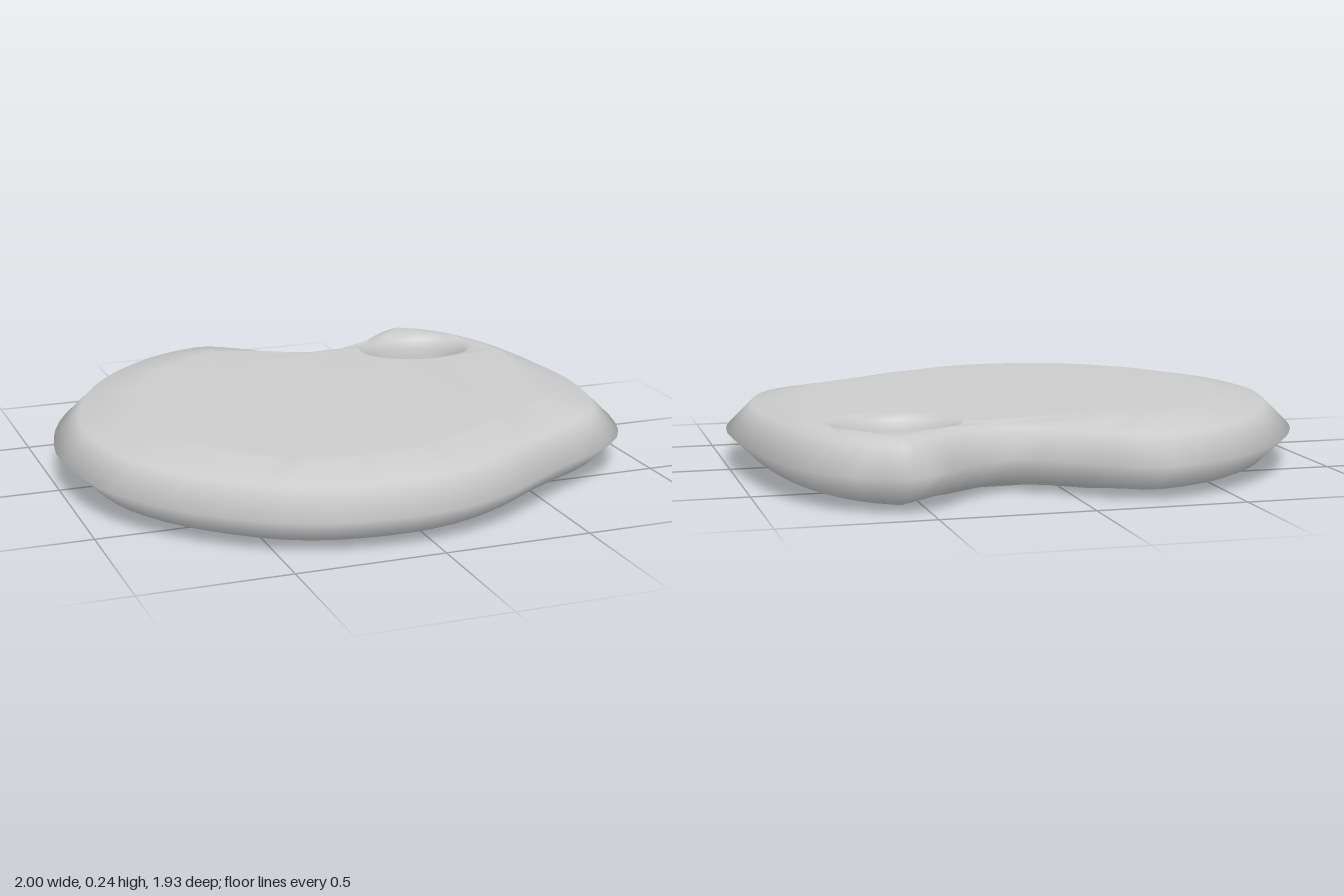
import * as THREE from 'three';

const SEGMENTS = 72, HOLE_SEGMENTS = 32, MID = 0.12;
const HOLE = new THREE.Vector2(0.53, -0.53);

// Kidney-shaped outline, as x, z pairs
const OUTLINE = [
  [-0.26, -0.97], [-0.17, -0.96], [-0.08, -0.905], [0.07, -0.78], [0.2, -0.715],
  [0.3, -0.76], [0.44, -0.89], [0.57, -0.965], [0.72, -0.9], [0.81, -0.81],
  [0.88, -0.69], [0.94, -0.5], [0.98, -0.25], [1, 0.05], [0.965, 0.28],
  [0.9, 0.44], [0.8, 0.55], [0.66, 0.635], [0.53, 0.71], [0.3, 0.86],
  [0.1, 0.94], [-0.1, 0.965], [-0.35, 0.935], [-0.51, 0.87], [-0.66, 0.76],
  [-0.79, 0.63], [-0.88, 0.5], [-0.95, 0.35], [-1, 0.03], [-0.98, -0.15],
  [-0.93, -0.33], [-0.85, -0.5], [-0.74, -0.66], [-0.6, -0.8], [-0.46, -0.9],
];

function boardGeometry() {
  const curve = new THREE.CatmullRomCurve3(OUTLINE.map(([x, z]) => new THREE.Vector3(x, 0, z)), true);
  const positions = [], indices = [];

  // Adds a loop of points and returns where it starts and how long it is
  function addLoop(points) {
    const start = positions.length / 3;
    points.forEach((p) => positions.push(p.x, p.y, p.z));
    return { start, count: points.length, points };
  }

  // Outline moved inwards; side is 1 above the middle and -1 below it.
  // The shoulder narrows beside the thumb hole.
  function edgeLoop(level, side) {
    const points = [];
    for (let i = 0; i < SEGMENTS; i++) {
      const p = curve.getPointAt(i / SEGMENTS), t = curve.getTangentAt(i / SEGMENTS);
      const room = Math.hypot(p.x - HOLE.x, p.z - HOLE.y) - 0.31;
      const shoulder = Math.min(0.27, 0.09 + 0.45 * Math.max(room, 0));
      const inset = [0, 0.09, shoulder][level];
      const rise = [0, 0.088, 0.09 + 0.03 * Math.min(1, (shoulder - 0.09) / 0.1)][level];
      points.push(new THREE.Vector3(p.x - t.z * inset, MID + side * rise, p.z + t.x * inset));
    }
    return addLoop(points);
  }

  function holeLoop(rx, rz, rise) {
    const points = [];
    for (let i = 0; i < HOLE_SEGMENTS; i++) {
      const a = (i / HOLE_SEGMENTS) * Math.PI * 2;
      points.push(new THREE.Vector3(HOLE.x + rx * Math.cos(a), MID + rise, HOLE.y + rz * Math.sin(a)));
    }
    return addLoop(points);
  }

  function bridge(loops) {
    for (let k = 0; k < loops.length - 1; k++) {
      const { start: a, count } = loops[k], b = loops[k + 1].start;
      for (let i = 0; i < count; i++) {
        const j = (i + 1) % count;
        indices.push(a + i, b + i, a + j, b + i, b + j, a + j);
      }
    }
  }

  // Flat face between the shoulder and the rim of the hole
  function cap(outer, inner, up) {
    const flat = (loop) => loop.points.map((p) => new THREE.Vector2(p.x, p.z));
    const contour = flat(outer), hole = flat(inner), all = contour.concat(hole);
    const id = (i) => (i < outer.count ? outer.start + i : inner.start + i - outer.count);
    THREE.ShapeUtils.triangulateShape(contour, [hole]).forEach(([a, b, c]) => {
      const area = THREE.ShapeUtils.area([all[a], all[b], all[c]]);
      if ((area < 0) === up) indices.push(id(a), id(b), id(c));
      else indices.push(id(a), id(c), id(b));
    });
  }

  const edge = [[2, -1], [1, -1], [0, 1], [1, 1], [2, 1]].map(([level, side]) => edgeLoop(level, side));
  const hole = [
    [0.225, 0.185, 0.108], [0.198, 0.163, 0.09], [0.182, 0.148, 0.055], [0.178, 0.144, 0],
    [0.182, 0.148, -0.055], [0.198, 0.163, -0.09], [0.225, 0.185, -0.108],
  ].map((ring) => holeLoop(...ring));
  bridge(edge);
  bridge(hole);
  cap(edge[4], hole[0], true);
  cap(edge[0], hole[6], false);

  const geometry = new THREE.BufferGeometry();
  geometry.setAttribute('position', new THREE.Float32BufferAttribute(positions, 3));
  geometry.setIndex(indices);
  geometry.computeVertexNormals();
  return geometry;
}

export function createModel() {
  const group = new THREE.Group();
  group.name = 'paintPalette';
  const board = new THREE.Mesh(boardGeometry(), new THREE.MeshStandardMaterial({ color: 0xcccccc }));
  board.name = 'paletteBoard';
  group.add(board);
  return group;
}
